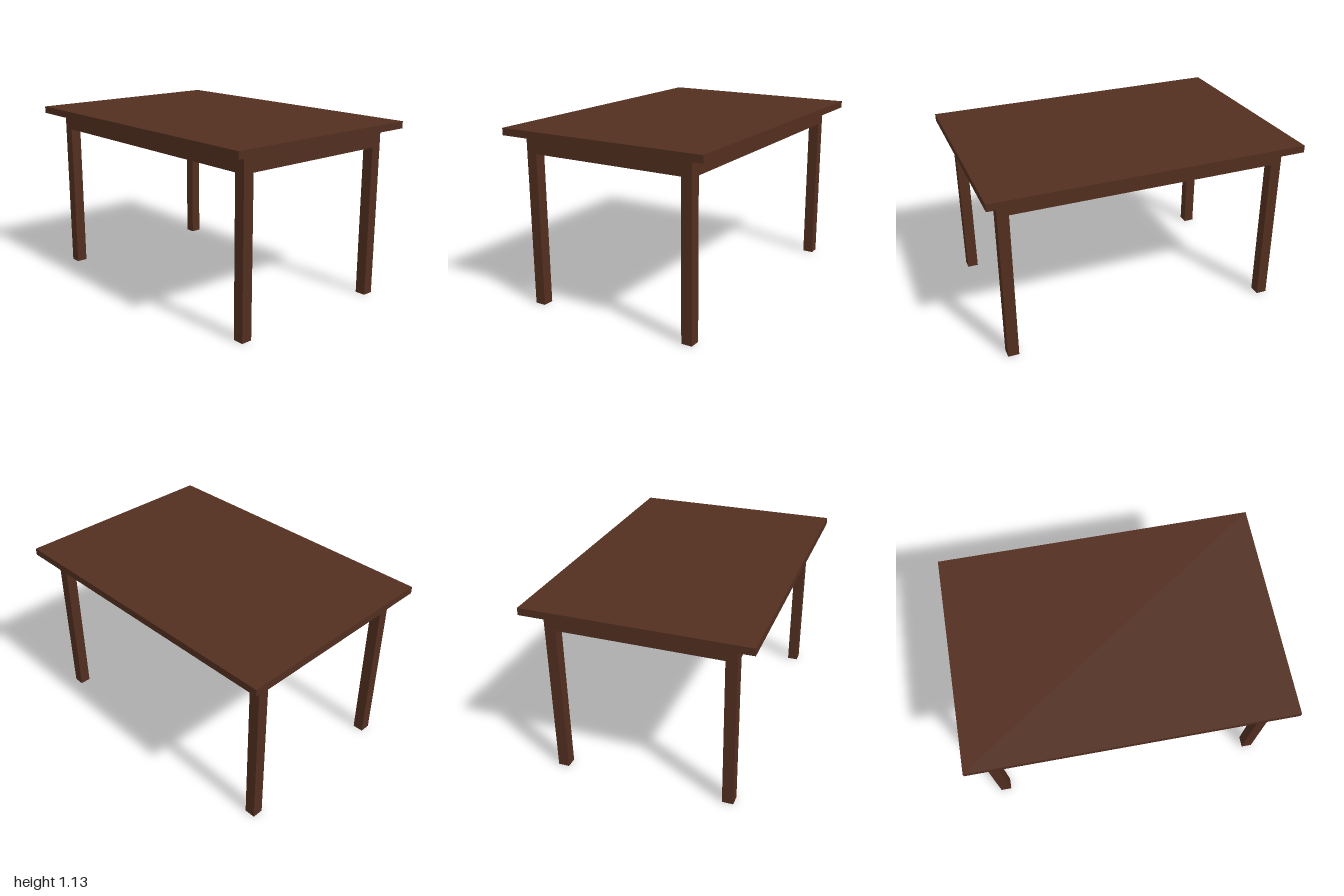
import * as THREE from 'three';

export function createModel() {
  const table = new THREE.Group();
  table.name = 'table';
  const wood = new THREE.MeshStandardMaterial({ color: 0x522e1f });

  // Box given by its size, centre in x and z, and bottom height
  const addBox = (name, w, h, d, x, bottom, z) => {
    const mesh = new THREE.Mesh(new THREE.BoxGeometry(w, h, d), wood);
    mesh.name = name;
    mesh.position.set(x, bottom + h / 2, z);
    table.add(mesh);
  };

  const legSize = 0.07, apronBottom = 0.98, apronTop = 1.09;
  const apronWidth = 1.84, apronDepth = 1.156;

  // Overhanging top and the solid apron block beneath it
  addBox('tabletop', 2, 0.045, 1.384, 0, apronTop, 0);
  addBox('apron', apronWidth, apronTop - apronBottom, apronDepth, 0, apronBottom, 0);

  // Square legs flush with the apron corners
  for (const [side, sx] of [['Left', 1], ['Right', -1]]) {
    for (const [end, sz] of [['front', 1], ['back', -1]]) {
      addBox(`${end}${side}Leg`, legSize, apronBottom, legSize,
        sx * (apronWidth - legSize) / 2, 0, sz * (apronDepth - legSize) / 2);
    }
  }
  return table;
}
